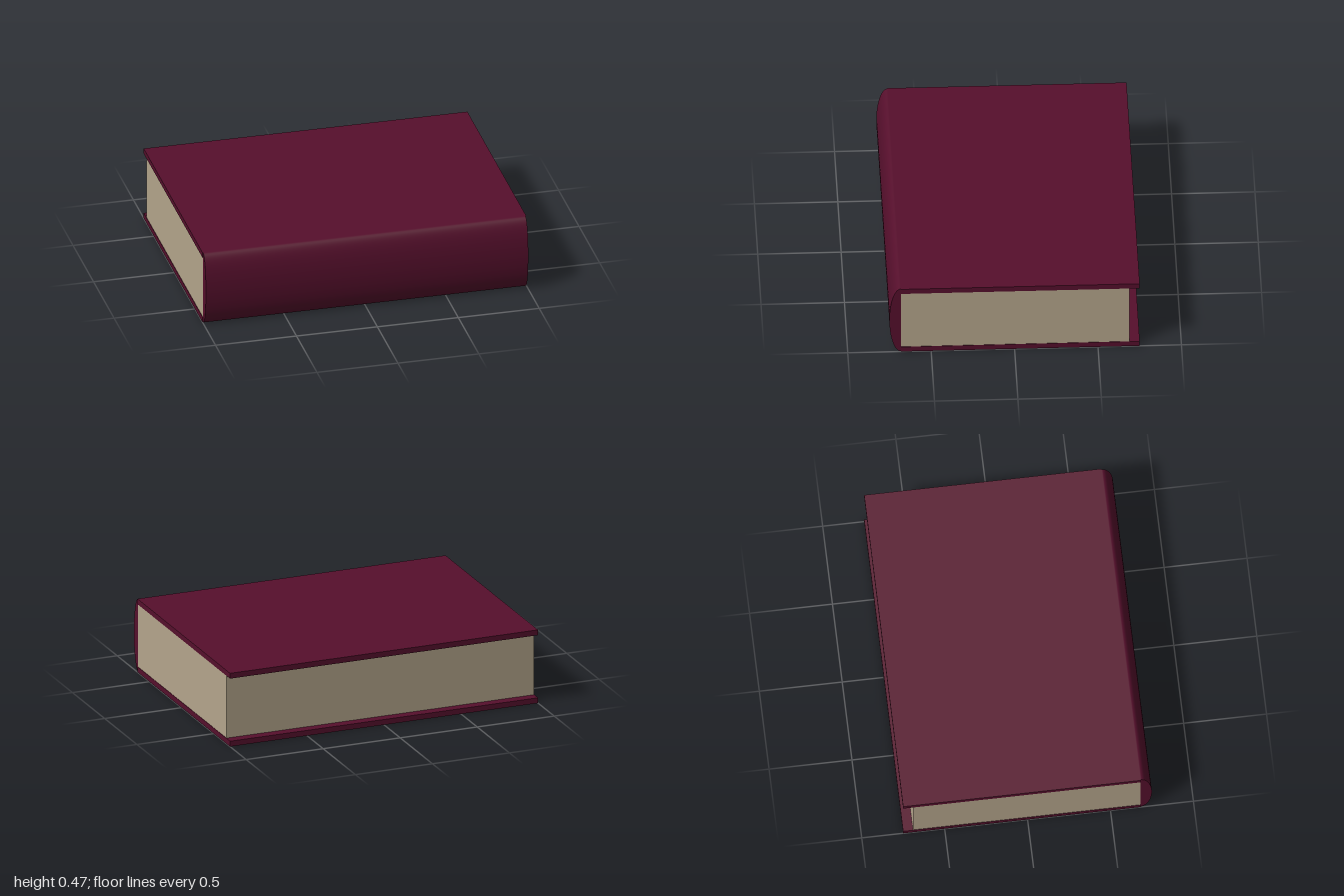
import * as THREE from 'three';

const HEIGHT = 0.466, BOARD = 0.034, HINGE_Z = 0.682, BACK_Z = -0.75, PAGE_Z = -0.69;

export function createModel() {
  const book = new THREE.Group();
  book.name = 'book';
  const cover = new THREE.MeshStandardMaterial({ color: 0x560f2c });
  const paper = new THREE.MeshStandardMaterial({ color: 0xb5a68c });

  // Box spanning the given y and z ranges, centred on x
  const slab = (name, width, y0, y1, z0, z1, material) => {
    const mesh = new THREE.Mesh(new THREE.BoxGeometry(width, y1 - y0, z1 - z0), material);
    mesh.position.set(0, (y0 + y1) / 2, (z0 + z1) / 2);
    mesh.name = name;
    book.add(mesh);
  };

  // Cover boards overhang the page block at the back
  slab('bottomCover', 2, 0, BOARD, BACK_Z, HINGE_Z, cover);
  slab('topCover', 2, HEIGHT - BOARD, HEIGHT, BACK_Z, HINGE_Z, cover);
  slab('pageBlock', 1.995, BOARD, HEIGHT - BOARD, PAGE_Z, HINGE_Z, paper);

  // Rounded spine: half cylinder lying along x, flattened to an elliptical bulge
  const spineGeometry = new THREE.CylinderGeometry(1, 1, 1.992, 32, 1, false, -Math.PI / 2, Math.PI);
  spineGeometry.rotateZ(Math.PI / 2);
  spineGeometry.scale(1, HEIGHT / 2, 0.75 - HINGE_Z);
  const spine = new THREE.Mesh(spineGeometry, cover);
  spine.position.set(0, HEIGHT / 2, HINGE_Z);
  spine.name = 'spine';
  book.add(spine);

  return book;
}
